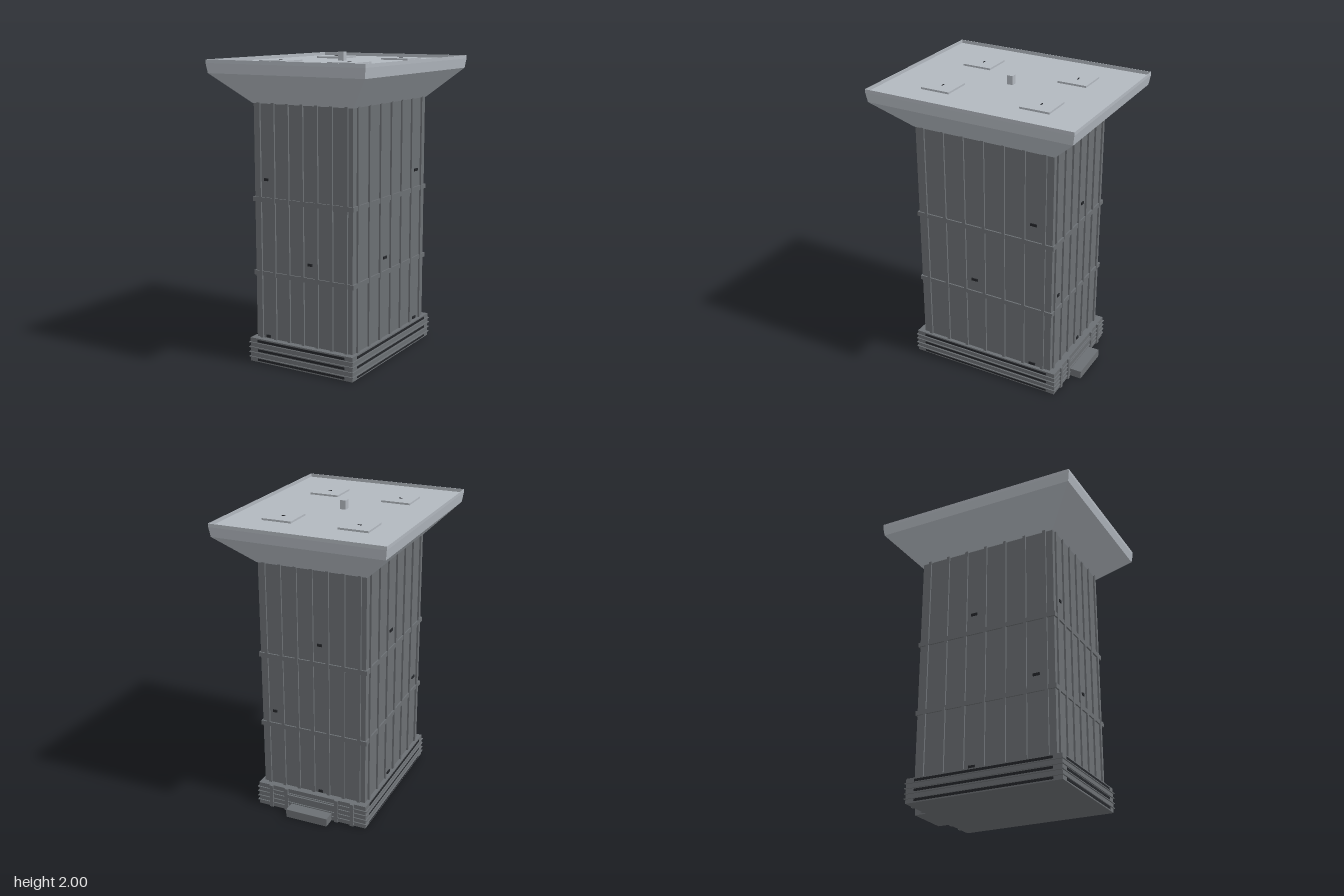
import * as THREE from 'three';

const body = new THREE.MeshStandardMaterial({ color: 0x6b6f73 });
body.name = 'wallGrey';
const roofMat = new THREE.MeshStandardMaterial({ color: 0xb2b8bf });
roofMat.name = 'roofGrey';
const dark = new THREE.MeshStandardMaterial({ color: 0x24262a });
dark.name = 'slotDark';

// Box given by centre and size
function box(parent, name, mat, w, h, d, x, y, z) {
  const m = new THREE.Mesh(new THREE.BoxGeometry(w, h, d), mat);
  m.position.set(x, y, z);
  m.name = name;
  parent.add(m);
  return m;
}

// Flat-faced loft through rectangular rings [halfX, halfZ, y], capped at both ends
function rectLoft(rings) {
  const corners = [[1, 1], [1, -1], [-1, -1], [-1, 1]];
  const pts = rings.map(([hx, hz, y]) => corners.map(([sx, sz]) => [sx * hx, y, sz * hz]));
  const pos = [];
  const quad = (a, b, c, d) => [a, b, c, a, c, d].forEach((p) => pos.push(...p));
  for (let i = 0; i < pts.length - 1; i++) {
    for (let k = 0; k < 4; k++) {
      const n = (k + 1) % 4;
      quad(pts[i][k], pts[i][n], pts[i + 1][n], pts[i + 1][k]);
    }
  }
  const first = pts[0], last = pts[pts.length - 1];
  quad(first[3], first[2], first[1], first[0]);
  quad(...last);
  const g = new THREE.BufferGeometry();
  g.setAttribute('position', new THREE.Float32BufferAttribute(pos, 3));
  g.computeVertexNormals();
  return g;
}

export function createModel() {
  const model = new THREE.Group();
  model.name = 'tower';

  // Shaft with vertical ribs and horizontal bands
  const shaft = new THREE.Group();
  shaft.name = 'shaft';
  model.add(shaft);
  const HX = 0.36, HZ = 0.485, y0 = 0.15, y1 = 1.7;
  box(shaft, 'shaftCore', body, HX * 2, y1 - y0, HZ * 2, 0, (y0 + y1) / 2, 0);
  for (let i = -3; i <= 3; i++) {
    for (const s of [-1, 1]) {
      box(shaft, 'wallRib', body, 0.02, y1 - y0, 0.024, i * 0.106, (y0 + y1) / 2, s * HZ);
      box(shaft, 'sideRib', body, 0.024, y1 - y0, 0.02, s * HX, (y0 + y1) / 2, i * 0.143);
    }
  }
  for (const y of [0.595, 1.08]) {
    box(shaft, 'band', body, HX * 2 + 0.02, 0.03, HZ * 2 + 0.02, 0, y, 0);
  }

  // Small vents: [offset on face, height]
  const wallVents = {
    front: [[-0.27, 1.21], [0.053, 0.695], [-0.27, 0.175]],
    back: [[-0.05, 1.21], [0.27, 0.695], [-0.05, 0.175]],
    left: [[-0.355, 1.21], [0.074, 0.695], [-0.355, 0.175]],
    right: [[-0.08, 1.21], [0.36, 0.695], [-0.08, 0.175]],
  };
  for (const [face, list] of Object.entries(wallVents)) {
    for (const [o, y] of list) {
      const s = face === 'front' || face === 'left' ? 1 : -1;
      if (face === 'front' || face === 'back') {
        box(shaft, 'vent', dark, 0.03, 0.017, 0.008, o, y, s * (HZ + 0.003));
      } else {
        box(shaft, 'vent', dark, 0.008, 0.017, 0.045, s * (HX + 0.003), y, o);
      }
    }
  }

  // Plinth with thin ledges and dark slots
  const base = new THREE.Group();
  base.name = 'plinth';
  model.add(base);
  box(base, 'plinthCore', body, 0.77, 0.16, 1.06, 0, 0.08, 0);
  for (const y of [0.03, 0.062, 0.096, 0.128]) {
    box(base, 'ledge', body, 0.786, 0.006, 1.076, 0, y, 0);
  }
  for (const y of [0.017, 0.08, 0.143]) {
    box(base, 'frontSlot', dark, 0.655, 0.016, 0.008, 0, y, 0.529);
    for (const s of [-1, 1]) {
      box(base, 'sideSlot', dark, 0.008, 0.016, 0.94, s * 0.384, y, 0);
    }
  }

  // Rear entrance: posts, lintel and step
  for (const s of [-1, 1]) {
    for (const x of [0.18, 0.29]) {
      box(base, 'rearPost', body, 0.025, 0.16, 0.02, s * x, 0.08, -0.532);
    }
  }
  box(base, 'rearLintel', body, 0.34, 0.02, 0.02, 0, 0.11, -0.532);
  box(base, 'rearStep', body, 0.29, 0.055, 0.09, 0, 0.0275, -0.567);

  // Flared roof with a sunken deck
  const roof = new THREE.Group();
  roof.name = 'roof';
  model.add(roof);
  const flare = new THREE.Mesh(rectLoft([
    [0.365, 0.49, 1.69], [0.555, 0.69, 1.88], [0.563, 0.7, 1.942], [0.564, 0.7, 1.964],
    [0.561, 0.697, 1.964], [0.561, 0.697, 1.942],
  ]), roofMat);
  flare.name = 'flaredRoof';
  roof.add(flare);
  for (const sx of [-1, 1]) {
    for (const sz of [-1, 1]) {
      box(roof, 'roofPad', roofMat, 0.195, 0.014, 0.197, sx * 0.25, 1.947, sz * 0.34);
      box(roof, 'padHandle', dark, 0.025, 0.004, 0.006, sx * 0.25, 1.955, sz * 0.34);
    }
  }
  box(roof, 'mast', roofMat, 0.04, 0.062, 0.04, 0, 1.969, 0);

  return model;
}
